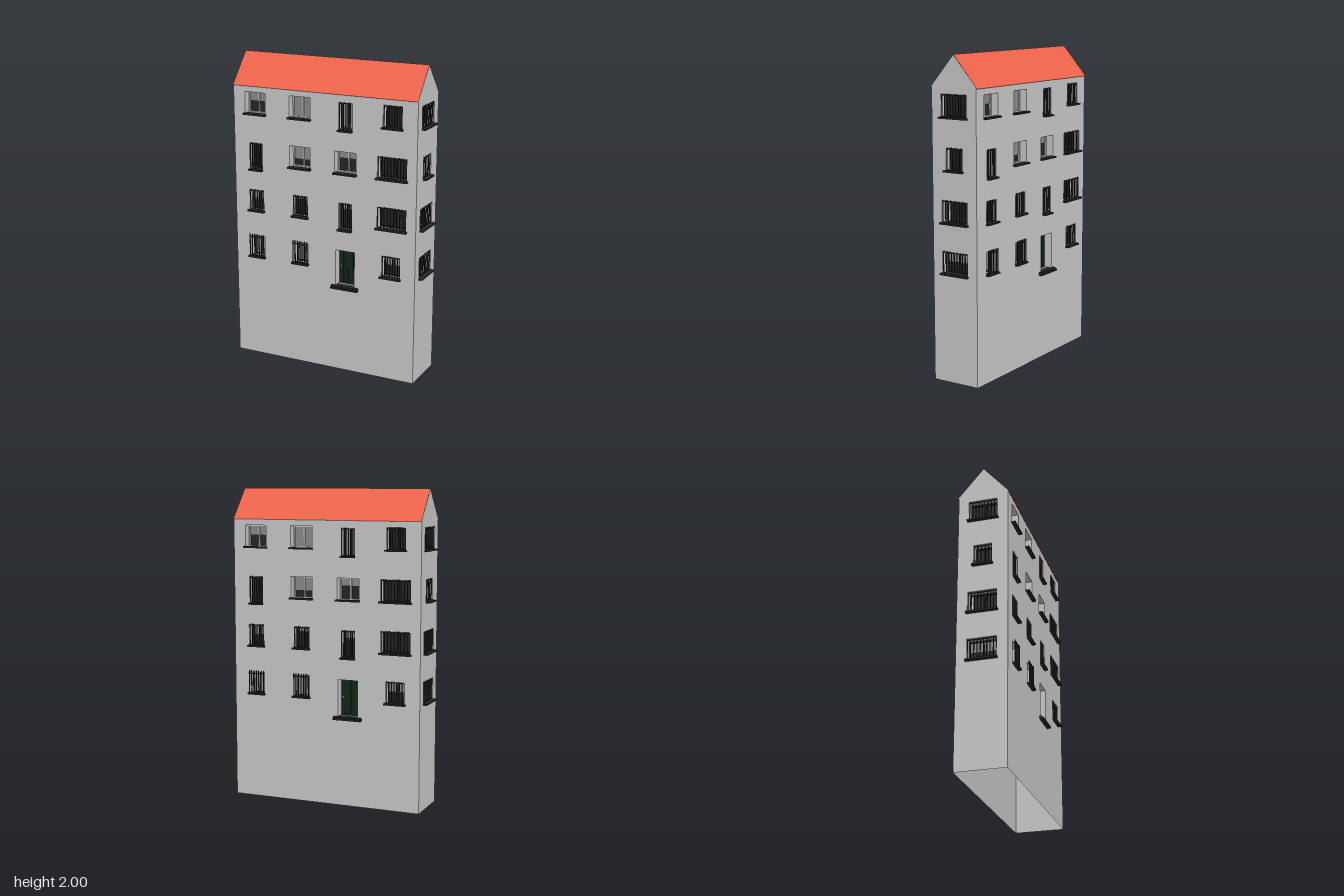
import * as THREE from 'three';
import { mergeGeometries } from 'three/addons/utils/BufferGeometryUtils.js';

const mat = (color, extra = {}) => new THREE.MeshStandardMaterial({ color, ...extra });
const wallMat = mat(0xcccccc, { side: THREE.DoubleSide, flatShading: true });
const frameMat = mat(0xcccccc);
const darkMat = mat(0x262626);
const blindMat = mat(0x8c8c8c);
const doorMat = mat(0x14261a);
const knobMat = mat(0xcccccc);
const roofMat = mat(0xf0644a, { side: THREE.DoubleSide });

const HX = 0.632, HZ = 0.16, EAVE = 1.81, DEPTH = 0.06;

function box(w, h, d, x, y, z) {
  return new THREE.BoxGeometry(w, h, d).translate(x, y, z);
}
function add(group, name, geometries, material) {
  const mesh = new THREE.Mesh(mergeGeometries(geometries), material);
  mesh.name = name;
  group.add(mesh);
}

// Four sides of an opening, from the wall plane inward
function reveal(w, h) {
  return new THREE.CylinderGeometry(Math.SQRT1_2, Math.SQRT1_2, 1, 4, 1, true, Math.PI / 4)
    .rotateX(Math.PI / 2).scale(w, h, DEPTH).translate(0, 0, -DEPTH / 2);
}

// Vertical bars with a rail at both ends
function bars(w, h, count, z, overshoot) {
  const parts = [
    box(w, 0.006, 0.006, 0, -h / 2 + 0.006, z),
    box(w, 0.006, 0.006, 0, h / 2 - 0.006, z),
  ];
  for (let i = 0; i < count; i++) {
    const x = -w / 2 + 0.003 + (w - 0.006) * i / (count - 1);
    parts.push(box(0.005, h + overshoot, 0.005, x, overshoot / 2, z));
  }
  return parts;
}

// Window centred on its opening; blind is the covered share from the top
function makeWindow({ w, h, bars: count = 0, blind = 0, strip = 0, outside = false, tall = false }) {
  const g = new THREE.Group();
  g.name = tall ? 'tallWindow' : 'window';
  const back = -DEPTH;
  add(g, 'reveal', [reveal(w, h)], wallMat);
  add(g, 'glass', [box(w, h, 0.004, 0, 0, back)], darkMat);
  if (blind) add(g, 'blind', [box(w, h * blind, 0.004, 0, h / 2 * (1 - blind), back + 0.003)], blindMat);
  if (strip) add(g, 'openCasement', [box(0.022, h, 0.006, strip * (w / 2 - 0.011), 0, back + 0.004)], frameMat);
  const t = 0.008;
  const frame = [
    box(t, h, 0.012, -w / 2 + t / 2, 0, back + 0.006),
    box(t, h, 0.012, w / 2 - t / 2, 0, back + 0.006),
    box(w, t, 0.012, 0, h / 2 - t / 2, back + 0.006),
    box(w, t, 0.012, 0, -h / 2 + t / 2, back + 0.006),
    box(t, h, 0.012, 0, 0, back + 0.006),
  ];
  add(g, 'frame', frame, count ? darkMat : frameMat);
  if (count) add(g, 'railing', bars(w, h, count, outside ? 0.012 : -0.006, outside ? 0.012 : 0), darkMat);
  const sillWidth = w + (tall ? 0 : 0.012);
  add(g, 'sill', [box(sillWidth, 0.01, 0.045, 0, -h / 2, 0.0025)], darkMat);
  return g;
}

// Recessed plank door with a step
function makeDoor({ w, h }) {
  const g = new THREE.Group();
  g.name = 'door';
  add(g, 'reveal', [reveal(w, h)], wallMat);
  const planks = [box(w, h, 0.004, 0, 0, -DEPTH)];
  for (let i = 0; i < 4; i++) planks.push(box(w / 4 - 0.004, h, 0.008, w * (i - 1.5) / 4, 0, -DEPTH + 0.004));
  add(g, 'planks', planks, doorMat);
  add(g, 'knob', [new THREE.SphereGeometry(0.006, 10, 8).translate(-w / 2 + 0.016, 0, -DEPTH + 0.012)], knobMat);
  add(g, 'step', [
    box(w + 0.055, 0.012, 0.065, 0, -h / 2 - 0.014, -0.006),
    box(w + 0.055, 0.01, 0.05, 0, -h / 2 - 0.004, -0.01),
  ], darkMat);
  return g;
}

// Wall with openings, facing +z
function makeFacade(name, halfWidth, openings) {
  const g = new THREE.Group();
  g.name = name;
  const shape = new THREE.Shape([
    new THREE.Vector2(-halfWidth, 0), new THREE.Vector2(halfWidth, 0),
    new THREE.Vector2(halfWidth, EAVE), new THREE.Vector2(-halfWidth, EAVE),
  ]);
  for (const o of openings) {
    const a = o.x - o.w / 2, b = o.x + o.w / 2, c = o.y, d = o.y + o.h;
    shape.holes.push(new THREE.Path([
      new THREE.Vector2(a, c), new THREE.Vector2(a, d),
      new THREE.Vector2(b, d), new THREE.Vector2(b, c),
    ]));
    const part = o.door ? makeDoor(o) : makeWindow(o);
    part.position.set(o.x, o.y + o.h / 2, 0);
    g.add(part);
  }
  add(g, 'wall', [new THREE.ShapeGeometry(shape)], wallMat);
  return g;
}

const H = 0.14;
const COL = [-0.477, -0.16, 0.156, 0.47];
const longSide = [
  // Top floor
  { x: COL[0], y: 1.627, w: 0.146, h: H, blind: 0.45 },
  { x: COL[1], y: 1.627, w: 0.146, h: H, blind: 1 },
  { x: COL[2], y: 1.582, w: 0.095, h: 0.176, bars: 7, blind: 1, tall: true },
  { x: COL[3], y: 1.627, w: 0.126, h: H, bars: 8 },
  // Third floor
  { x: COL[0], y: 1.265, w: 0.095, h: 0.176, bars: 7, tall: true },
  { x: COL[1], y: 1.31, w: 0.146, h: H, blind: 0.65 },
  { x: COL[2], y: 1.31, w: 0.146, h: H, blind: 0.36 },
  { x: COL[3], y: 1.31, w: 0.196, h: H, bars: 10 },
  // Second floor
  { x: COL[0], y: 0.992, w: 0.107, h: H, bars: 7, blind: 0.5 },
  { x: COL[1], y: 0.992, w: 0.107, h: H, bars: 7, blind: 0.25 },
  { x: COL[2], y: 0.947, w: 0.095, h: 0.176, bars: 7, blind: 0.3, tall: true },
  { x: COL[3], y: 0.992, w: 0.196, h: H, bars: 10, strip: 1 },
  // Entrance floor
  { x: COL[0], y: 0.68, w: 0.107, h: H, bars: 7, blind: 1, outside: true },
  { x: COL[1], y: 0.68, w: 0.107, h: H, bars: 7, blind: 1, outside: true },
  { x: COL[2], y: 0.575, w: 0.13, h: 0.235, door: true },
  { x: COL[3], y: 0.68, w: 0.126, h: H, bars: 8, blind: 0.5 },
];
const shortSide = [
  { x: 0, y: 1.627, w: 0.186, h: H, bars: 10 },
  { x: 0, y: 1.31, w: 0.12, h: H, bars: 6 },
  { x: 0, y: 0.992, w: 0.186, h: H, bars: 10, strip: -1 },
  { x: 0, y: 0.68, w: 0.186, h: H, bars: 10, blind: 0.5 },
];

export function createModel() {
  const model = new THREE.Group();
  model.name = 'townHouse';

  // The same long and short sides repeat after a half turn
  for (const [i, ends] of [['front', 'left'], ['back', 'right']].entries()) {
    const half = new THREE.Group();
    half.name = ends[0] + 'Half';
    const long = makeFacade(ends[0] + 'Facade', HX, longSide);
    long.position.z = HZ;
    const short = makeFacade(ends[1] + 'Facade', HZ, shortSide);
    short.rotation.y = Math.PI / 2;
    short.position.x = HX;
    half.add(long, short);

    // Gable triangle
    const gable = new THREE.Shape([
      new THREE.Vector2(-0.168, 1.805), new THREE.Vector2(0.168, 1.805), new THREE.Vector2(0, 1.999),
    ]);
    add(half, 'gable', [new THREE.ShapeGeometry(gable).rotateY(Math.PI / 2).translate(HX, 0, 0)], wallMat);

    // Roof slope from eave to ridge
    const rise = 0.195, run = 0.168;
    const slope = new THREE.PlaneGeometry(HX * 2, Math.hypot(rise, run))
      .rotateX(-Math.atan2(run, rise)).translate(0, 1.805 + rise / 2, run / 2);
    add(half, 'roofSlope', [slope], roofMat);

    half.rotation.y = i * Math.PI;
    model.add(half);
  }
  return model;
}
